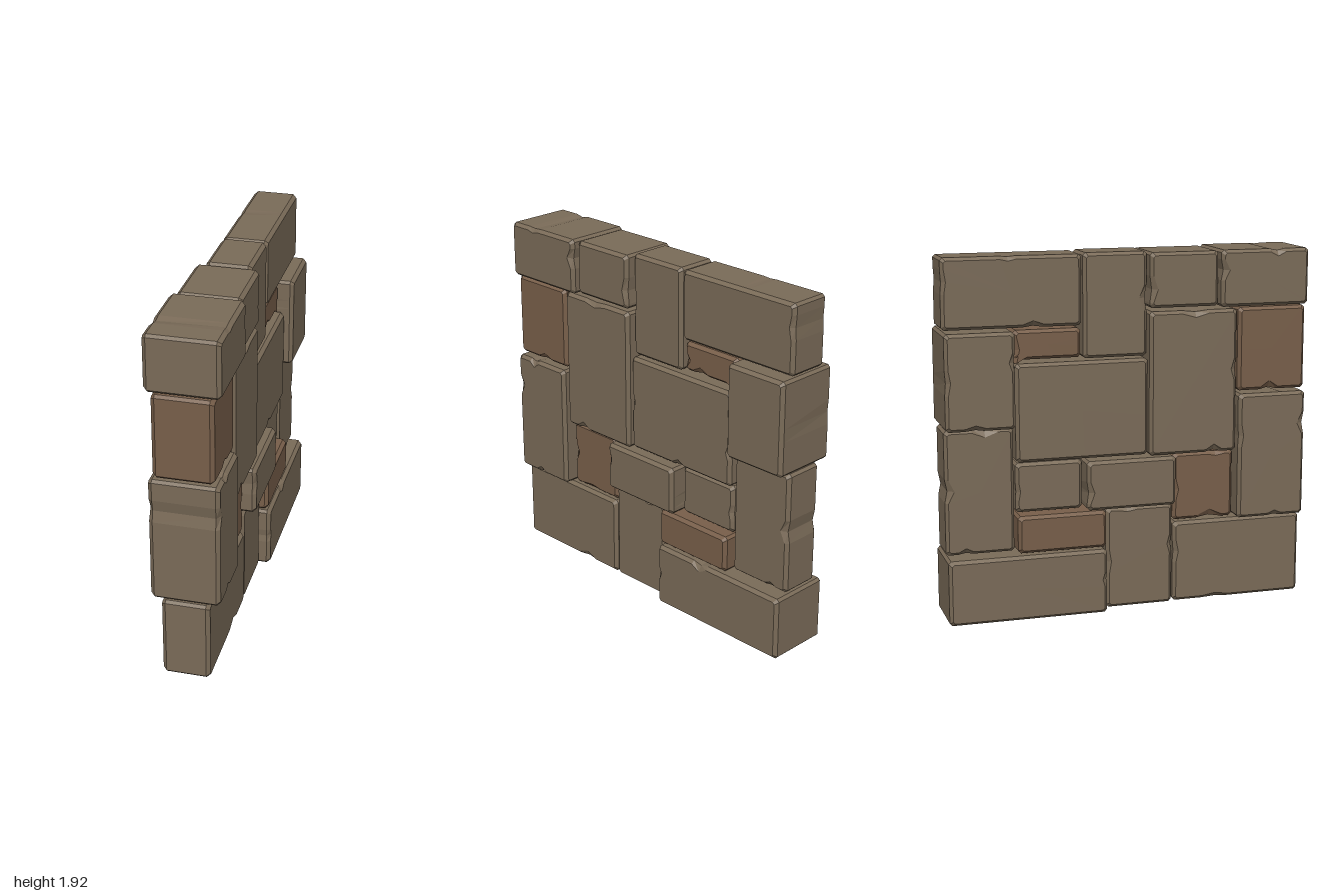
import * as THREE from 'three';

const BEVEL = 0.02;

// small seeded generator for the chips
function seeded(seed) {
  let s = seed;
  return () => {
    s = (s * 16807) % 2147483647;
    return s / 2147483647;
  };
}

// Perimeter plan of one stone: per side two corner points and some chips.
// Each entry holds the point on the full rectangle, the inward direction and chip depths.
function planPerimeter(w, h, rand) {
  const corners = [[-w, -h], [w, -h], [w, h], [-w, h]];
  const points = [];
  corners.forEach((a, i) => {
    const b = corners[(i + 1) % 4];
    const len = Math.hypot(b[0] - a[0], b[1] - a[1]);
    const dir = [(b[0] - a[0]) / len, (b[1] - a[1]) / len];
    const inward = [-dir[1], dir[0]];
    const add = (t, left, right) => points.push({
      u: a[0] + dir[0] * t, v: a[1] + dir[1] * t, inward, dir, left, right,
      end: t < len / 2 ? 1 : -1, corner: left < 0,
    });
    add(BEVEL * 0.7, -1, -1);
    if (rand() < 0.6) {
      const t = len * (0.25 + 0.5 * rand());
      const half = 0.035 + 0.04 * rand();
      add(t - half, 0, 0);
      add(t, rand() < 0.7 ? 0.025 * rand() + 0.008 : 0, rand() < 0.7 ? 0.025 * rand() + 0.008 : 0);
      add(t + half, 0, 0);
    }
    add(len - BEVEL * 0.7, -1, -1);
  });
  return points;
}

// Bevelled, chipped block: four rings across the thickness (x) and two flat caps
function stoneGeometry(depth, height, length, seed) {
  const rand = seeded(seed * 7919 + 13);
  for (let i = 0; i < 5; i++) rand();
  const plan = planPerimeter(length / 2, height / 2, rand);
  const n = plan.length;
  const t = depth / 2;
  const levels = [[-t, 1, 'left'], [-t + BEVEL, 0, 'left'], [t - BEVEL, 0, 'right'], [t, 1, 'right']];
  const pos = [];
  const index = [];
  for (const [x, onFace, side] of levels) {
    for (const p of plan) {
      const chip = p.corner ? 0 : p[side];
      const inset = onFace ? BEVEL * 0.8 + chip : chip * 0.4;
      const slide = p.corner && onFace ? BEVEL * 0.6 * p.end : 0;
      pos.push(x, p.v + p.inward[1] * inset + p.dir[1] * slide, p.u + p.inward[0] * inset + p.dir[0] * slide);
    }
  }
  for (let r = 0; r < 3; r++) {
    for (let j = 0; j < n; j++) {
      const k = (j + 1) % n;
      const a = r * n + j, b = r * n + k, c = b + n, d = a + n;
      index.push(a, d, c, a, c, b);
    }
  }
  const low = 4 * n, high = low + 1;
  pos.push(-t, 0, 0, t, 0, 0);
  for (let j = 0; j < n; j++) {
    const k = (j + 1) % n;
    index.push(low, j, k, high, 3 * n + k, 3 * n + j);
  }
  const geo = new THREE.BufferGeometry();
  geo.setAttribute('position', new THREE.Float32BufferAttribute(pos, 3));
  geo.setIndex(index);
  const flat = geo.toNonIndexed();
  flat.computeVertexNormals();
  return flat;
}

// z from, z to, y from, y to, half thickness, reddish stone
const STONES = [
  [0.495, 0.985, 1.625, 1.925, 0.19],
  [0.11, 0.485, 1.63, 1.92, 0.165],
  [-0.24, 0.105, 1.375, 1.925, 0.12],
  [-0.985, -0.25, 1.55, 1.92, 0.12],
  [-0.985, -0.62, 1.035, 1.54, 0.185],
  [-0.61, -0.25, 1.38, 1.535, 0.1, true],
  [0.605, 0.985, 1.165, 1.615, 0.155, true],
  [0.11, 0.595, 0.84, 1.61, 0.16],
  [-0.61, 0.105, 0.845, 1.365, 0.14],
  [-0.985, -0.62, 0.365, 1.03, 0.115],
  [0.605, 0.985, 0.465, 1.15, 0.18],
  [0.255, 0.985, 0.01, 0.455, 0.125],
  [0.255, 0.595, 0.465, 0.835, 0.115, true],
  [-0.24, 0.25, 0.57, 0.835, 0.185],
  [-0.61, -0.25, 0.57, 0.835, 0.11],
  [-0.12, 0.25, 0.005, 0.56, 0.12],
  [-0.61, -0.13, 0.36, 0.56, 0.165, true],
  [-0.985, -0.13, 0, 0.35, 0.18],
];

export function createModel() {
  const group = new THREE.Group();
  group.name = 'stoneWall';
  const brown = new THREE.MeshStandardMaterial({ color: 0x7a6b58, flatShading: true });
  const reddish = new THREE.MeshStandardMaterial({ color: 0x785f4a, flatShading: true });

  // the whole wall stands slightly turned
  const wall = new THREE.Group();
  wall.name = 'wall';
  wall.rotation.y = 0.073;
  group.add(wall);

  STONES.forEach(([z0, z1, y0, y1, half, red], i) => {
    const stone = new THREE.Mesh(stoneGeometry(half * 2, y1 - y0, z1 - z0, i + 1), red ? reddish : brown);
    stone.name = `stone${i + 1}`;
    stone.position.set(0, (y0 + y1) / 2, (z0 + z1) / 2);
    wall.add(stone);
  });
  return group;
}
